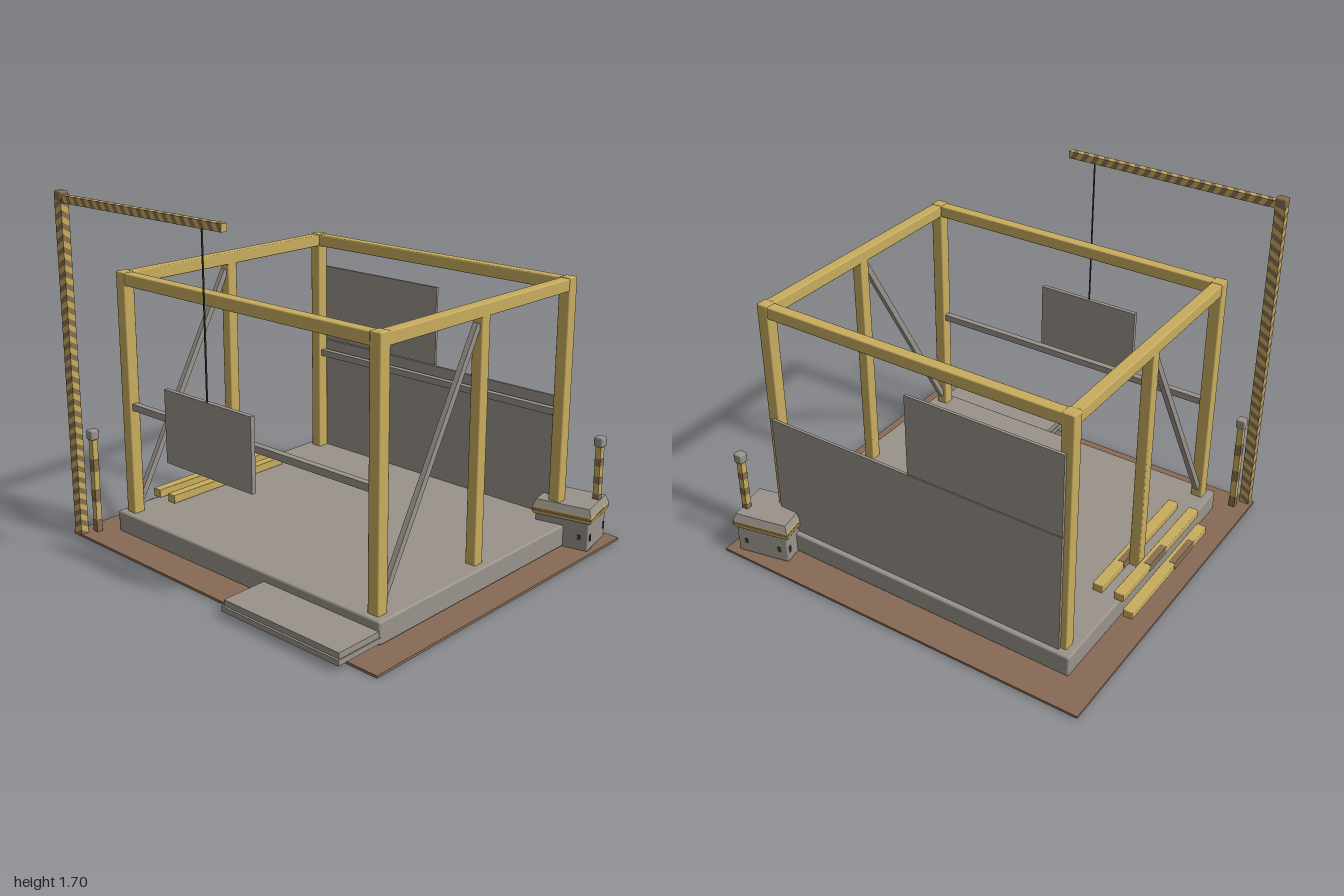
import * as THREE from 'three';
import { mergeGeometries } from 'three/addons/utils/BufferGeometryUtils.js';
import { RoundedBoxGeometry } from 'three/addons/geometries/RoundedBoxGeometry.js';

const material = (name, color, side = THREE.FrontSide) =>
  Object.assign(new THREE.MeshStandardMaterial({ color, side }), { name });

export function createModel() {
  const yellow = material('ochre paint', 0xc9ad5e);
  const worn = material('worn paint', 0x88704f);
  const grey = material('weathered grey', 0x99938b);
  const earth = material('brown earth', 0x876a56);
  const dark = material('dark iron', 0x45403a);

  const model = new THREE.Group();
  model.name = 'constructionFrame';

  const add = (name, geometry, mat, x, y, z, parent = model) => {
    const mesh = new THREE.Mesh(geometry, mat);
    mesh.name = name;
    mesh.position.set(x, y, z);
    parent.add(mesh);
    return mesh;
  };
  // Box given by its limits; bevel > 0 softens the edges
  const block = (name, mat, [x0, x1], [y0, y1], [z0, z1], bevel = 0, parent = model) => {
    const s = [x1 - x0, y1 - y0, z1 - z0];
    const g = bevel ? new RoundedBoxGeometry(...s, 1, bevel) : new THREE.BoxGeometry(...s);
    return add(name, g, mat, (x0 + x1) / 2, (y0 + y1) / 2, (z0 + z1) / 2, parent);
  };
  // Upright bar made of alternating slanted segments
  const stripedBar = (name, length, w, d, period) => {
    const bar = new THREE.Group();
    bar.name = name;
    const sets = [[], []];
    const step = period / 2;
    for (let i = -2; i * step < length + 2 * step; i++) {
      const g = new THREE.BoxGeometry(w, step, d).toNonIndexed();
      const p = g.attributes.position;
      for (let k = 0; k < p.count; k++) {
        const y = (i + 0.5) * step + p.getY(k) + (p.getX(k) + p.getZ(k)) * 0.6;
        p.setY(k, THREE.MathUtils.clamp(y, 0, length));
      }
      g.computeVertexNormals();
      sets[i & 1].push(g);
    }
    add('lightStripes', mergeGeometries(sets[0]), yellow, 0, 0, 0, bar);
    add('wornStripes', mergeGeometries(sets[1]), worn, 0, 0, 0, bar);
    model.add(bar);
    return bar;
  };

  // Ground sheet, sloping gently down towards +x
  const sheet = new THREE.BoxGeometry(1.99, 0.012, 1.78);
  const sp = sheet.attributes.position;
  for (let i = 0; i < sp.count; i++) {
    sp.setY(i, sp.getY(i) - sp.getX(i) * 0.004);
    if (sp.getX(i) < 0 && sp.getZ(i) > 0) sp.setZ(i, sp.getZ(i) - 0.015);
  }
  sheet.computeVertexNormals();
  add('ground', sheet, earth, -0.005, 0.012, -0.035);

  // Floor slab and entrance step
  block('floorSlab', grey, [-0.85, 0.85], [0.017, 0.125], [-0.75, 0.68], 0.01);
  block('lowerStep', grey, [0.17, 0.85], [0.03, 0.055], [0.67, 0.925]);
  block('upperStep', grey, [0.175, 0.845], [0.055, 0.083], [0.67, 0.915]);

  // Timber frame: corner posts, middle posts, braces and top beams
  const zFront = 0.62, zBack = -0.68;
  for (const s of [-1, 1]) {
    const x = s * 0.785;
    for (const z of [zFront, zBack])
      block('cornerPost', yellow, [x - 0.03, x + 0.03], [0.12, 1.322], [z - 0.03, z + 0.03], 0.006);
    block('middlePost', yellow, [x - 0.027, x + 0.027], [0.12, 1.27], [-0.057, -0.001], 0.005);
    block('sideBeam', yellow, [x - 0.027, x + 0.027], [1.258, 1.318], [zBack, zFront], 0.006);
    const dy = 1.05, dz = -0.59;
    const brace = add('diagonalBrace', new THREE.BoxGeometry(0.026, Math.hypot(dy, dz), 0.03),
      grey, x, 0.705, 0.295);
    brace.rotation.x = Math.atan2(dz, dy);
  }
  for (const [side, z] of [['front', zFront], ['back', zBack]]) {
    block(side + 'Beam', yellow, [-0.785, 0.785], [1.258, 1.318], [z - 0.027, z + 0.027], 0.006);
    block(side + 'Rail', grey, [-0.76, 0.76], [0.65, 0.683], [z - 0.016, z + 0.016]);
  }

  // Back wall sheets
  block('lowerWallPanel', grey, [-0.785, 0.785], [0.12, 0.73], [-0.725, -0.711]);
  block('upperWallPanel', grey, [-0.785, 0], [0.735, 1.14], [-0.725, -0.711]);

  // Loose planks with worn patches
  const planks = [[-0.895, 0.045, 0.1, 0.3], [-0.845, 0.125, -0.06, 0.1], [-0.735, 0.125, -0.11, 0]];
  for (const [x, y, p0, p1] of planks) {
    block('plank', yellow, [x - 0.025, x + 0.025], [y, y + 0.043], [-0.31, 0.44], 0.004);
    block('wornPatch', worn, [x - 0.0262, x + 0.006], [y + 0.004, y + 0.0442], [p0, p1]);
  }

  // Striped hoist mast and arm with a hanging sheet
  const zHoist = 0.822;
  stripedBar('hoistMast', 1.645, 0.05, 0.042, 0.056).position.set(-0.96, 0.02, zHoist);
  block('mastCap', worn, [-0.987, -0.933], [1.655, 1.7], [zHoist - 0.023, zHoist + 0.023], 0.008);
  const arm = stripedBar('hoistArm', 1.07, 0.035, 0.033, 0.056);
  arm.position.set(-0.935, 1.664, zHoist);
  arm.rotation.z = -Math.PI / 2;
  block('hoistCable', dark, [-0.003, 0.003], [0.9, 1.65], [zHoist - 0.003, zHoist + 0.003]);
  block('hangingPanel', grey, [-0.272, 0.274], [0.565, 0.905], [0.808, 0.83]);

  // Small lamp posts
  for (const [x, z, y0] of [[-0.92, 0.755, 0.02], [0.92, -0.82, 0.22]]) {
    block('lampPost', yellow, [x - 0.015, x + 0.015], [y0, 0.495], [z - 0.015, z + 0.015]);
    block('lampHead', grey, [x - 0.023, x + 0.023], [0.498, 0.546], [z - 0.023, z + 0.023], 0.006);
    const h = (0.49 - y0) / 6;
    for (let i = 0; i < 3; i++) {
      const y = y0 + h * 2 * i;
      block('wornBand', worn, [x - 0.0158, x + 0.0158], [y, y + h * 0.8], [z - 0.0158, z + 0.0158]);
    }
  }

  // Storage chest, turned slightly at the back corner
  const chest = new THREE.Group();
  chest.name = 'storageChest';
  chest.position.set(0.8175, 0, -0.755);
  chest.rotation.y = 0.205;
  model.add(chest);
  block('chestBody', grey, [-0.136, 0.136], [0.015, 0.17], [-0.112, 0.112], 0.008, chest);
  block('chestBand', yellow, [-0.148, 0.148], [0.16, 0.2], [-0.123, 0.123], 0.006, chest);
  block('chestBandStripe', worn, [-0.1492, 0.1492], [0.174, 0.187], [-0.1242, 0.1242], 0, chest);
  const lid = new THREE.BoxGeometry(0.294, 0.034, 0.244).toNonIndexed();
  const lp = lid.attributes.position;
  for (let i = 0; i < lp.count; i++)
    if (lp.getY(i) > 0) lp.setXYZ(i, lp.getX(i) * 0.91, lp.getY(i), lp.getZ(i) * 0.89);
  lid.computeVertexNormals();
  add('chestLid', lid, grey, 0, 0.214, 0, chest);
  for (const s of [-1, 1])
    for (const t of [-1, 1]) {
      block('chestLatch', dark, [s * 0.137 - 0.003, s * 0.137 + 0.003], [0.065, 0.1],
        [t * 0.09 - 0.007, t * 0.09 + 0.007], 0, chest);
      block('chestLatch', dark, [s * 0.09 - 0.008, s * 0.09 + 0.008], [0.07, 0.095],
        [t * 0.113 - 0.003, t * 0.113 + 0.003], 0, chest);
    }
  return model;
}
